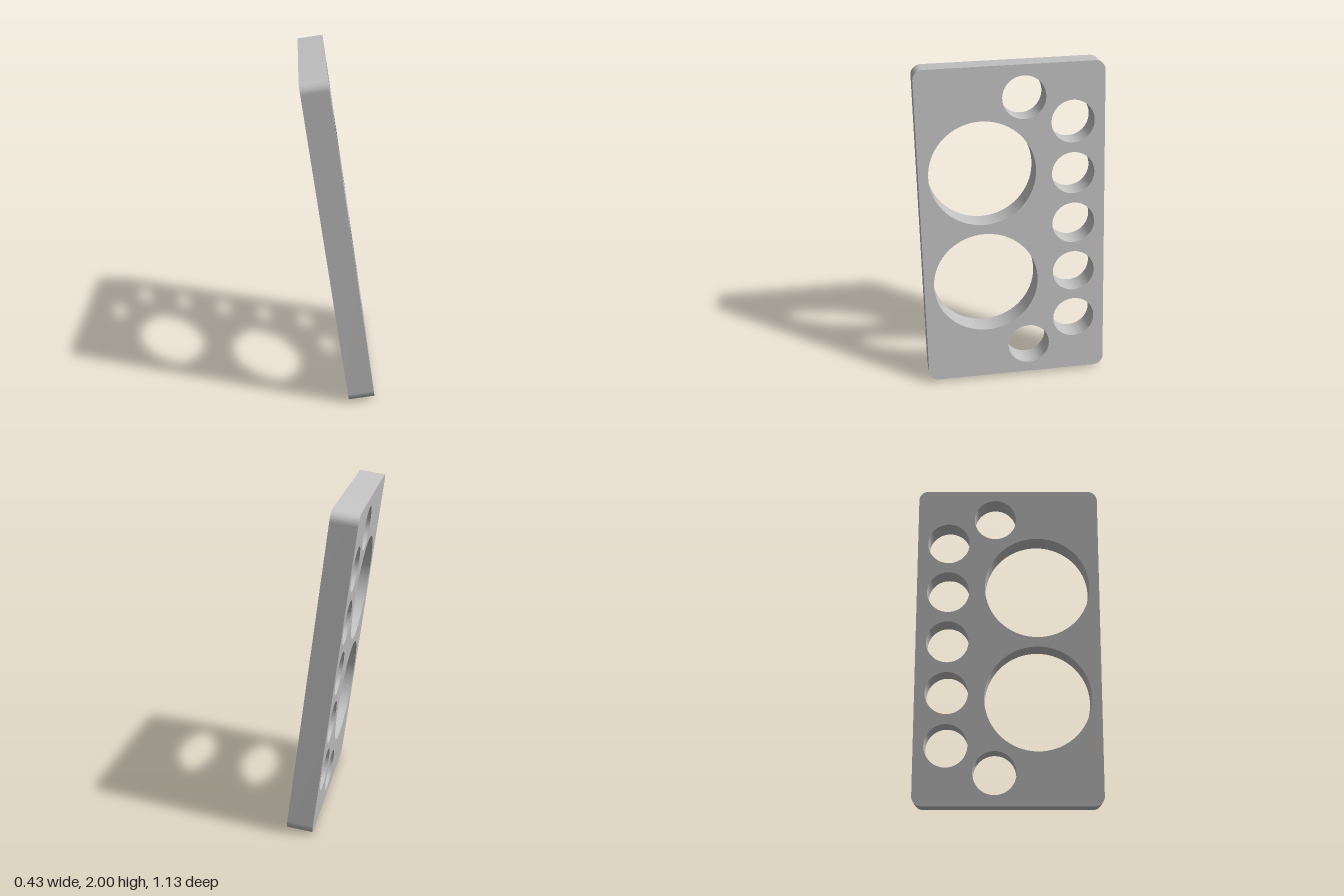
import * as THREE from 'three';
import { toCreasedNormals } from 'three/addons/utils/BufferGeometryUtils.js';

const HALF_W = 0.563, HALF_H = 0.999, CORNER = 0.06, THICK = 0.157;
const TILT = THREE.MathUtils.degToRad(8);

// Rounded rectangle centred on the origin
function roundedRect(w, h, r) {
  const s = new THREE.Shape();
  s.absarc(w - r, h - r, r, 0, Math.PI / 2);
  s.absarc(-w + r, h - r, r, Math.PI / 2, Math.PI);
  s.absarc(-w + r, -h + r, r, Math.PI, Math.PI * 1.5);
  s.absarc(w - r, -h + r, r, Math.PI * 1.5, Math.PI * 2);
  s.closePath();
  return s;
}

export function createModel() {
  const grey = new THREE.MeshStandardMaterial({ color: 0xc4c4c4 });
  grey.name = 'light grey';

  const outline = roundedRect(HALF_W, HALF_H, CORNER);
  const drill = (x, y, r) =>
    outline.holes.push(new THREE.Path().absarc(x, y, r, 0, Math.PI * 2, true));

  // Two large holes, two end holes, and a row of five along one edge
  for (const side of [-1, 1]) {
    drill(-0.18, side * 0.353, 0.323);
    drill(0.08, side * 0.804, 0.13);
  }
  for (let i = -2; i <= 2; i++) drill(0.37, i * 0.321, 0.13);

  // Extrude, centre the thickness and turn the broad face towards +x
  const geometry = new THREE.ExtrudeGeometry(outline, {
    depth: THICK, bevelEnabled: false, curveSegments: 40,
  });
  geometry.translate(0, 0, -THICK / 2);
  geometry.rotateY(Math.PI / 2);

  const plate = new THREE.Mesh(toCreasedNormals(geometry, 0.6), grey);
  plate.name = 'perforatedPlate';
  plate.rotation.z = TILT;
  plate.position.y = 1;

  const group = new THREE.Group();
  group.name = 'leaningPlate';
  group.add(plate);
  return group;
}
